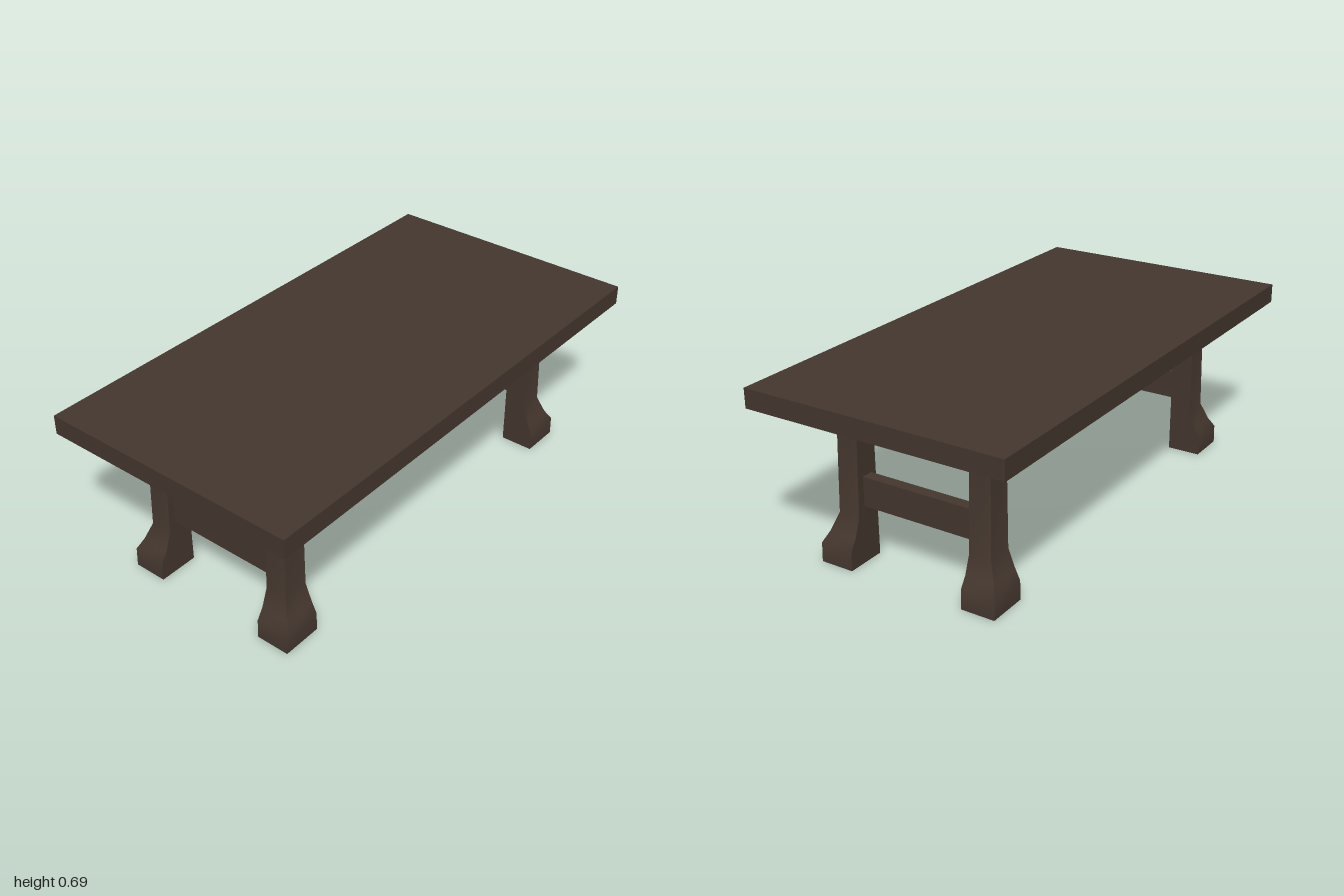
import * as THREE from 'three';
import { toCreasedNormals } from 'three/addons/utils/BufferGeometryUtils.js';

const INNER_X = 0.687, INNER_Z = 0.235;

// Leg levels from floor to tabletop: height, outer x, outer z
const LEG = [
  [0, 0.845, 0.37],
  [0.075, 0.842, 0.37],
  [0.117, 0.815, 0.35],
  [0.187, 0.79, 0.323],
  [0.615, 0.775, 0.32],
];

// Square leg: straight inner faces, outer faces flaring into a foot
function legGeometry(sx, sz) {
  const rows = LEG.length - 1;
  const geo = new THREE.BoxGeometry(1, 1, 1, 1, rows, 1);
  const p = geo.attributes.position;
  for (let i = 0; i < p.count; i++) {
    const [y, ox, oz] = LEG[Math.round((p.getY(i) + 0.5) * rows)];
    const x = p.getX(i) * sx > 0 ? ox : INNER_X;
    const z = p.getZ(i) * sz > 0 ? oz : INNER_Z;
    p.setXYZ(i, sx * x, y, sz * z);
  }
  return toCreasedNormals(geo, 0.6);
}

export function createModel() {
  const group = new THREE.Group();
  const wood = new THREE.MeshStandardMaterial({ color: 0x45372f });
  wood.name = 'darkWood';

  const add = (name, geo) => {
    const mesh = new THREE.Mesh(geo, wood);
    mesh.name = name;
    group.add(mesh);
    return mesh;
  };
  const beam = (name, w, y0, y1, d, x, z) =>
    add(name, new THREE.BoxGeometry(w, y1 - y0, d)).position.set(x, (y0 + y1) / 2, z);

  // Tabletop slab
  beam('tabletop', 2, 0.615, 0.69, 1.045, 0, 0);

  // Four mirrored legs
  for (const sx of [-1, 1])
    for (const sz of [-1, 1])
      add((sz > 0 ? 'front' : 'back') + (sx > 0 ? 'Left' : 'Right') + 'Leg', legGeometry(sx, sz));

  // Aprons under the top, and a low stretcher at each end
  for (const s of [-1, 1]) {
    const side = s > 0 ? 'left' : 'right';
    beam(s > 0 ? 'frontApron' : 'backApron', 2 * INNER_X, 0.505, 0.615, 0.045, 0, s * 0.277);
    beam(side + 'Apron', 0.045, 0.505, 0.615, 2 * INNER_Z, s * 0.732, 0);
    beam(side + 'Stretcher', 0.045, 0.22, 0.335, 2 * INNER_Z, s * 0.735, 0);
  }
  return group;
}
